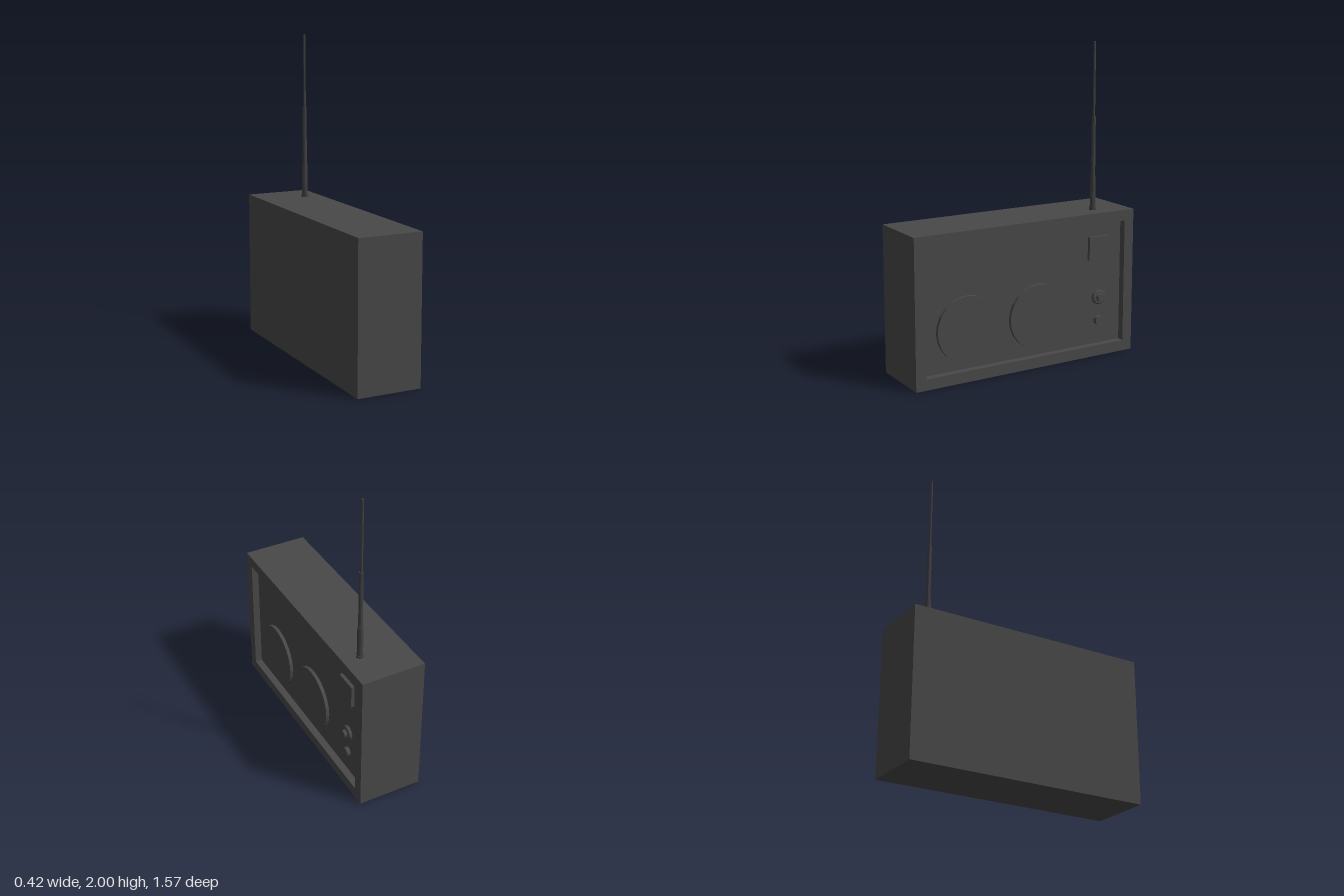
import * as THREE from 'three';
import { mergeGeometries } from 'three/addons/utils/BufferGeometryUtils.js';

const W = 1.566, H = 0.936, D = 0.416;          // cabinet
const RW = 1.43, RH = 0.796, RD = 0.046;        // recess in the face
const CY = H / 2;
const FACE = D / 2 - RD;                        // depth position of the recessed panel

const caseMat = new THREE.MeshStandardMaterial({ color: 0x484848 });
const facetMat = new THREE.MeshStandardMaterial({ color: 0x484848, flatShading: true });
const metalMat = new THREE.MeshStandardMaterial({ color: 0x404040, flatShading: true });

// Box without its +z side; inward turns the faces to the inside
function openBox(w, h, d, inward) {
  const g = new THREE.BoxGeometry(w, h, d);
  const idx = Array.from(g.index.array).filter((_, i) => i < 24 || i >= 30);
  if (inward) {
    idx.reverse();
    g.attributes.normal.array.forEach((v, i, a) => { a[i] = -v; });
  }
  g.setIndex(idx);
  g.clearGroups();
  return g;
}

function rect(target, w, h) {
  target.moveTo(-w / 2, -h / 2);
  target.lineTo(w / 2, -h / 2);
  target.lineTo(w / 2, h / 2);
  target.lineTo(-w / 2, h / 2);
  target.closePath();
  return target;
}

export function createModel() {
  const model = new THREE.Group();
  model.name = 'portableRadio';
  // Everything is laid out facing +z, then the radio is turned to face +x
  const radio = new THREE.Group();
  radio.name = 'radio';
  radio.rotation.y = Math.PI / 2;
  model.add(radio);

  const add = (name, geo, mat, x, y, z) => {
    const m = new THREE.Mesh(geo, mat);
    m.name = name;
    m.position.set(x, y, z);
    radio.add(m);
    return m;
  };

  // Cabinet: outer shell, rim and sunken panel
  const rim = rect(new THREE.Shape(), W, H);
  rim.holes.push(rect(new THREE.Path(), RW, RH));
  const cabinet = mergeGeometries([
    openBox(W, H, D, false),
    new THREE.ShapeGeometry(rim).translate(0, 0, D / 2),
    openBox(RW, RH, RD, true).translate(0, 0, D / 2 - RD / 2),
  ]);
  add('cabinet', cabinet, caseMat, 0, CY, 0);

  // Round part standing out from the panel; profile is [radius, height] pairs
  const turned = (name, profile, sides, x, y) => {
    const g = new THREE.LatheGeometry(profile.map(([r, h]) => new THREE.Vector2(r, h)), sides);
    g.rotateX(Math.PI / 2);
    add(name, g, facetMat, x, y, FACE);
  };

  // Speakers
  [['firstSpeaker', -0.418], ['secondSpeaker', 0.087]].forEach(([name, x]) =>
    turned(name, [[0.206, 0], [0.206, 0.022], [0, 0.022]], 24, x, 0.324));

  // Display and knobs
  add('display', new THREE.BoxGeometry(0.146, 0.15, 0.022), caseMat, 0.537, 0.704, FACE + 0.011);
  turned('tuningKnob', [[0.047, 0], [0.047, 0.018], [0.04, 0.022], [0.026, 0.022],
    [0.024, 0.042], [0, 0.042]], 12, 0.545, 0.378);
  turned('volumeKnob', [[0.031, 0], [0.028, 0.025], [0, 0.025]], 12, 0.545, 0.225);

  // Telescopic antenna: [bottom radius, top radius, bottom, top]
  [
    ['antennaBase', 0.024, 0.024, H, 0.95],
    ['antennaLower', 0.019, 0.018, 0.95, 1.155],
    ['antennaMiddle', 0.014, 0.013, 1.155, 1.53],
    ['antennaUpper', 0.008, 0.008, 1.53, 2],
  ].forEach(([name, r0, r1, y0, y1]) =>
    add(name, new THREE.CylinderGeometry(r1, r0, y1 - y0, 10), metalMat, 0.545, (y0 + y1) / 2, 0.093));

  return model;
}
